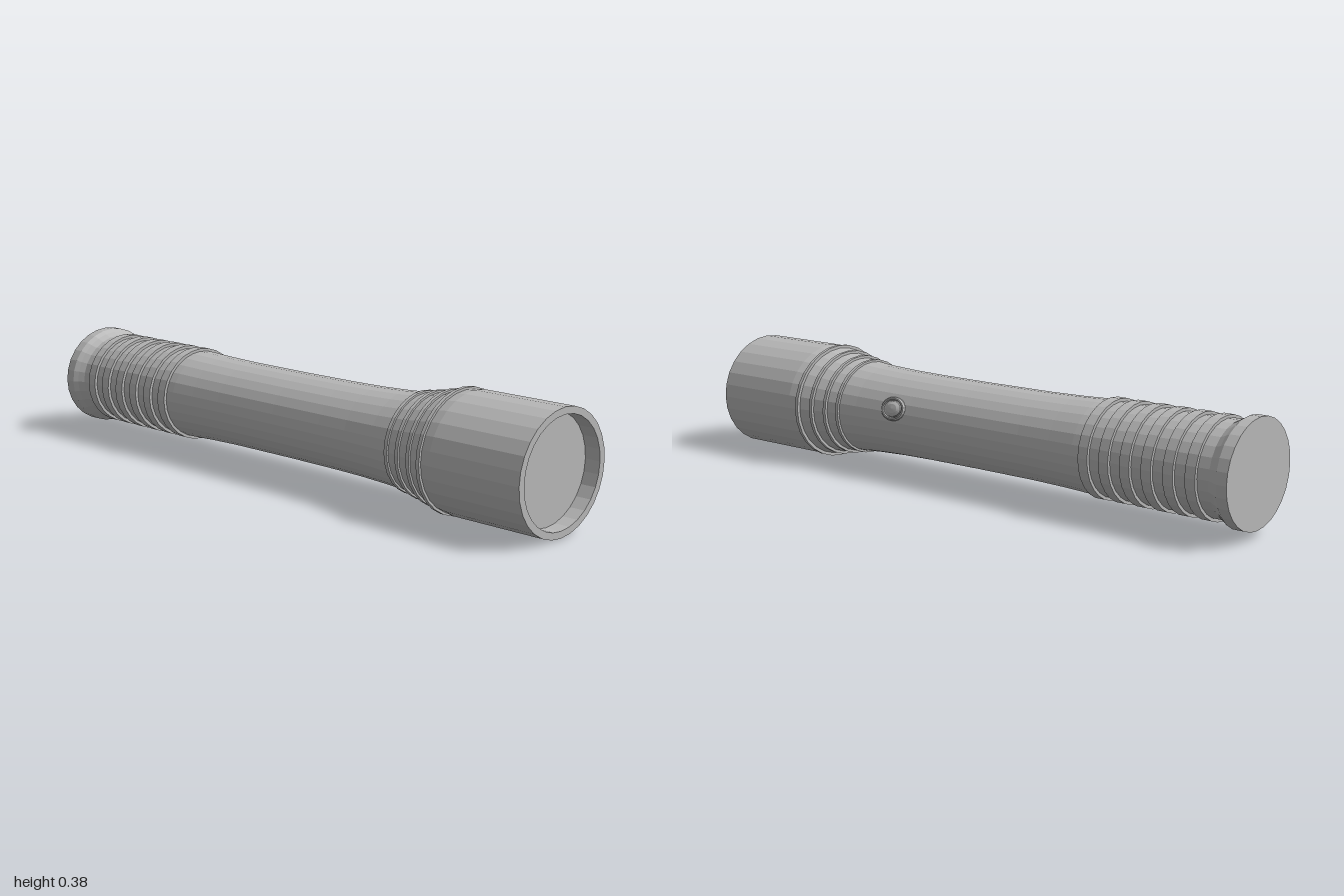
import * as THREE from 'three';

const SIDES = 28;
const SQUASH = 0.932; // the barrel is slightly wider than tall

export function createModel() {
  const model = new THREE.Group();
  model.name = 'flashlight';
  const grey = new THREE.MeshStandardMaterial({ color: 0xb8b8b8 });
  grey.name = 'grey metal';

  // Faceted turned part; points are [radius, z] from back to front
  function turned(name, points, parent, sides = SIDES) {
    const lathe = new THREE.LatheGeometry(points.map(([r, z]) => new THREE.Vector2(r, z)), sides);
    const geometry = lathe.rotateX(Math.PI / 2).toNonIndexed();
    geometry.computeVertexNormals();
    const mesh = new THREE.Mesh(geometry, grey);
    mesh.name = name;
    parent.add(mesh);
    return mesh;
  }

  const barrel = new THREE.Group();
  barrel.name = 'barrel';
  barrel.scale.y = SQUASH;
  barrel.position.y = 0.192;
  model.add(barrel);

  // Flared end cap
  turned('tailCap', [[0, -1], [0.178, -1], [0.178, -0.965], [0.168, -0.95], [0.157, -0.93], [0.157, -0.9]], barrel);

  // Waisted handle
  turned('handle', [
    [0.157, -0.9], [0.157, -0.46], [0.153, -0.37], [0.15, -0.25], [0.149, 0], [0.15, 0.2],
    [0.152, 0.31], [0.157, 0.42], [0.163, 0.494], [0.171, 0.543], [0.183, 0.595], [0.197, 0.645],
  ], barrel);

  // Head with a rim around the sunken lens
  turned('head', [[0.197, 0.645], [0.203, 0.685], [0.203, 1], [0.18, 1], [0.18, 0.95]], barrel);
  turned('lens', [[0.18, 0.95], [0, 0.95]], barrel);

  // Raised band with square edges
  function band(name, radius, z, width, depth) {
    const a = z - width / 2, b = z + width / 2;
    turned(name, [[radius - depth, a], [radius, a], [radius, b], [radius - depth, b]], barrel);
  }
  for (let i = 0; i < 6; i++) band('gripBand', 0.167, -0.508 - i * 0.0735, 0.034, 0.015);
  [[0.206, 0.645], [0.191, 0.594], [0.179, 0.542], [0.17, 0.493]]
    .forEach(([r, z]) => band('neckRing', r, z, 0.012, 0.02));

  // Switch on the left side, tilted a little upward
  const button = new THREE.Group();
  button.name = 'switch';
  const tilt = 0.31;
  button.position.set(0.147 * Math.cos(tilt), 0.192 + 0.139 * Math.sin(tilt), 0.262);
  button.rotation.set(0, Math.PI / 2, 0);
  button.rotateX(-tilt);
  button.scale.set(1.25, 0.95, 1);
  turned('switchCollar', [[0.041, -0.012], [0.041, 0.003], [0.037, 0.008], [0.032, 0.008], [0.029, -0.003]], button, 20);
  turned('switchDome', [[0.03, -0.004], [0.026, 0.005], [0.016, 0.011], [0, 0.013]], button, 20);
  model.add(button);

  return model;
}
